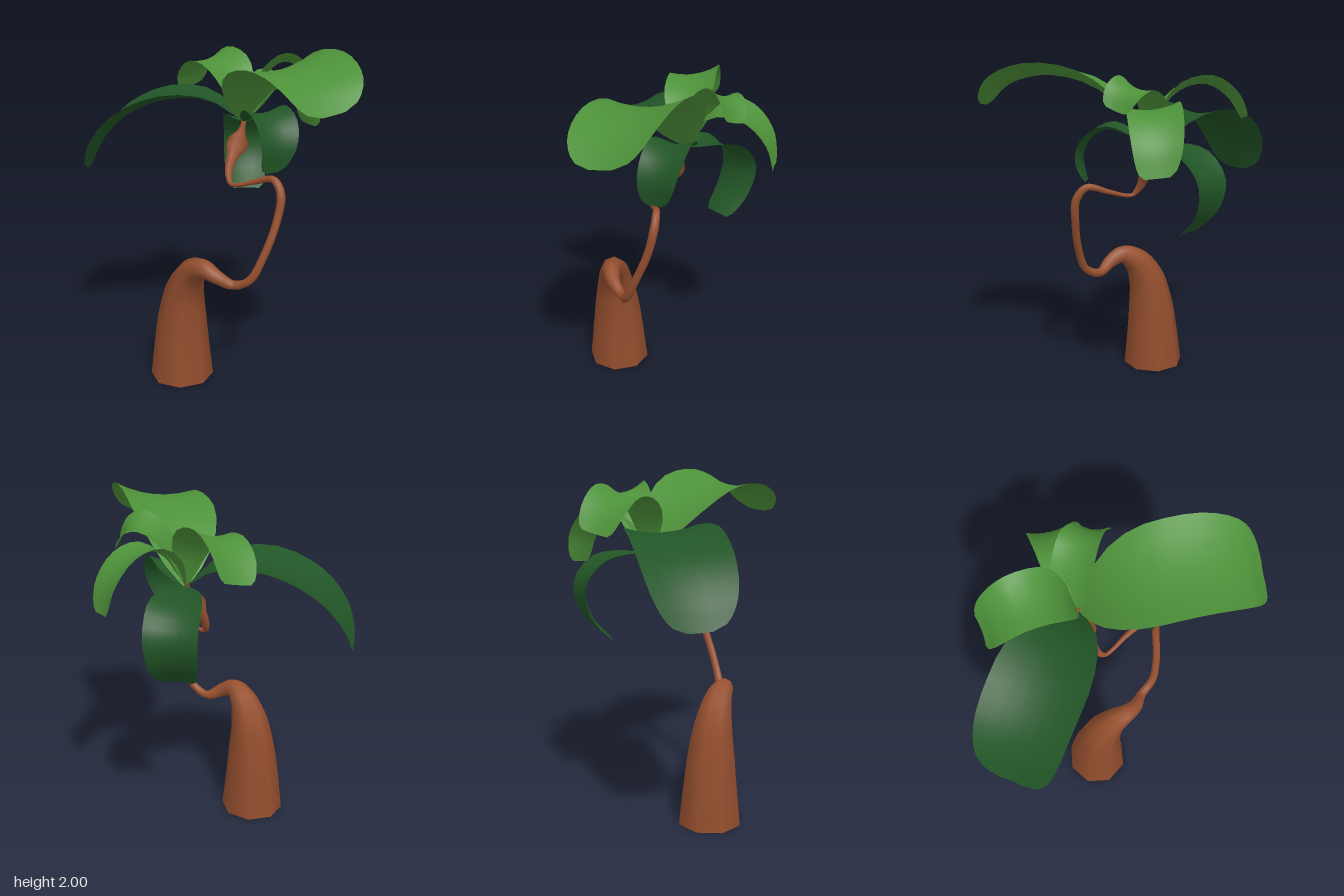
import * as THREE from 'three';

const bark = new THREE.MeshStandardMaterial({ color: 0x97502f, side: THREE.DoubleSide });
bark.name = 'bark brown';
const lightGreen = new THREE.MeshStandardMaterial({ color: 0x4d9139, side: THREE.DoubleSide });
lightGreen.name = 'light leaf green';
const darkGreen = new THREE.MeshStandardMaterial({ color: 0x215526, side: THREE.DoubleSide });
darkGreen.name = 'dark leaf green';

const CROWN = [-0.075, 1.53, -0.12];
const curveOf = (pts) => new THREE.CatmullRomCurve3(pts.map((p) => new THREE.Vector3(p[0], p[1], p[2])));

// Winding trunk with a bulb near its end: x, y, z, radius
const TRUNK = [
  [-0.18, 0, 0.322, 0.19], [-0.176, 0.2, 0.322, 0.168], [-0.165, 0.4, 0.322, 0.145],
  [-0.135, 0.58, 0.322, 0.115], [-0.07, 0.7, 0.322, 0.084], [0.02, 0.75, 0.32, 0.057],
  [0.1, 0.717, 0.295, 0.043], [0.18, 0.667, 0.23, 0.027], [0.27, 0.71, 0.19, 0.024],
  [0.32, 0.85, 0.13, 0.023], [0.345, 1.05, 0.05, 0.023], [0.34, 1.2, 0.015, 0.025],
  [0.28, 1.27, 0.01, 0.022], [0.15, 1.235, 0.03, 0.015], [0.05, 1.203, 0.06, 0.012],
  [0, 1.2, 0.07, 0.012], [-0.04, 1.25, 0.05, 0.022], [-0.06, 1.32, 0.01, 0.032],
  [-0.066, 1.352, -0.015, 0.04], [-0.068, 1.375, -0.03, 0.058], [-0.07, 1.405, -0.05, 0.067],
  [-0.072, 1.435, -0.065, 0.06], [-0.073, 1.46, -0.08, 0.036], [-0.074, 1.49, -0.095, 0.02],
  [-0.075, 1.56, -0.12, 0.01],
];

// Open tube whose rings are scaled to the radius at each point
function taperedTube(rows, segments, sides) {
  const path = curveOf(rows);
  const geo = new THREE.TubeGeometry(path, segments, 1, sides);
  const pos = geo.attributes.position;
  const v = new THREE.Vector3();
  for (let i = 0; i <= segments; i++) {
    const u = i / segments;
    const centre = path.getPointAt(u);
    const k = path.getUtoTmapping(u) * (rows.length - 1);
    const a = Math.min(Math.floor(k), rows.length - 2);
    const r = THREE.MathUtils.lerp(rows[a][3], rows[a + 1][3], k - a);
    for (let j = 0; j <= sides; j++) {
      const n = i * (sides + 1) + j;
      v.fromBufferAttribute(pos, n).sub(centre).multiplyScalar(r).add(centre);
      pos.setXYZ(n, v.x, i === 0 ? 0 : v.y, v.z);
    }
  }
  return geo;
}

// Leaf blade: a cupped ribbon along a spine, widening early and rounding to a blunt tip
function leafGeometry({ spine, side, half, cup, tip }) {
  const path = curveOf([CROWN, ...spine]);
  const across = new THREE.Vector3(...side).normalize();
  const rows = 16, cols = 6, pos = [], index = [];
  for (let i = 0; i <= rows; i++) {
    // Rows crowd towards the tip, where the outline bends most
    const t = (i / rows + Math.sin((i / rows) * Math.PI / 2)) / 2;
    const p = path.getPoint(t);
    const up = new THREE.Vector3().crossVectors(across, path.getTangent(t)).normalize();
    const w = t < 0.42
      ? Math.max(0.05, Math.sin((t / 0.42) * Math.PI / 2) ** 0.75)
      : THREE.MathUtils.lerp(tip, 1, Math.sqrt(Math.max(0, 1 - ((t - 0.42) / 0.58) ** 2.6)));
    for (let j = 0; j <= cols; j++) {
      const s = (j / cols) * 2 - 1;
      const q = p.clone().addScaledVector(across, s * w * half).addScaledVector(up, s * s * w * w * cup);
      pos.push(q.x, q.y, q.z);
      if (i < rows && j < cols) {
        const a = i * (cols + 1) + j, b = a + cols + 1;
        index.push(a, a + 1, b, a + 1, b + 1, b);
      }
    }
  }
  const geo = new THREE.BufferGeometry();
  geo.setAttribute('position', new THREE.Float32BufferAttribute(pos, 3));
  geo.setIndex(index);
  geo.computeVertexNormals();
  return geo;
}

// The side vector lies on the right of the growing direction, so that the cup opens upward
const LEAVES = [
  { name: 'largeLeftLeaf', mat: lightGreen, half: 0.265, cup: 0.05, tip: 0.25, side: [-0.3, -0.15, 0.93],
    spine: [[0.08, 1.74, -0.05], [0.3, 1.88, 0.03], [0.54, 1.91, 0.1], [0.73, 1.85, 0.16], [0.84, 1.74, 0.2]] },
  { name: 'largeFrontRightLeaf', mat: darkGreen, half: 0.255, cup: 0.05, tip: 0.25, side: [-0.66, -0.03, -0.75],
    spine: [[-0.22, 1.66, 0.02], [-0.42, 1.66, 0.2], [-0.6, 1.56, 0.35], [-0.71, 1.41, 0.45], [-0.77, 1.25, 0.51]] },
  { name: 'upperRightLeaf', mat: lightGreen, half: 0.15, cup: 0.03, tip: 0.55, side: [0.08, 0.22, -1],
    spine: [[-0.13, 1.72, -0.12], [-0.24, 1.84, -0.13], [-0.39, 1.87, -0.14], [-0.51, 1.8, -0.15], [-0.59, 1.68, -0.17]] },
  { name: 'backLeaf', mat: lightGreen, half: 0.148, cup: 0.03, tip: 0.45, side: [1, -0.1, 0.13],
    spine: [[-0.06, 1.68, -0.2], [-0.04, 1.76, -0.33], [-0.03, 1.73, -0.46], [-0.02, 1.61, -0.57], [-0.01, 1.45, -0.62]] },
  { name: 'upperBackLeaf', mat: lightGreen, half: 0.12, cup: 0.03, tip: 0.5, side: [0.7, 0.28, 0.65],
    spine: [[-0.065, 1.68, -0.18], [-0.02, 1.81, -0.25], [0.05, 1.875, -0.32], [0.115, 1.85, -0.365], [0.17, 1.765, -0.39]] },
  { name: 'lowerLeftLeaf', mat: darkGreen, half: 0.13, cup: 0.03, tip: 0.3, side: [-0.33, -0.04, 1],
    spine: [[0.03, 1.58, -0.1], [0.15, 1.62, -0.06], [0.25, 1.57, -0.03], [0.3, 1.46, 0], [0.275, 1.31, 0.02]] },
  { name: 'lowerBackRightLeaf', mat: darkGreen, half: 0.148, cup: 0.03, tip: 0.55, side: [0.7, 0, -0.7],
    spine: [[-0.17, 1.525, -0.22], [-0.27, 1.48, -0.33], [-0.335, 1.36, -0.4], [-0.32, 1.2, -0.375], [-0.235, 1.055, -0.295]] },
];

export function createModel() {
  const model = new THREE.Group();
  model.name = 'curlyPalm';

  const trunk = new THREE.Mesh(taperedTube(TRUNK, 140, 8), bark);
  trunk.name = 'trunk';
  model.add(trunk);

  const crown = new THREE.Group();
  crown.name = 'crown';
  for (const leaf of LEAVES) {
    const mesh = new THREE.Mesh(leafGeometry(leaf), leaf.mat);
    mesh.name = leaf.name;
    crown.add(mesh);
  }
  model.add(crown);
  return model;
}
